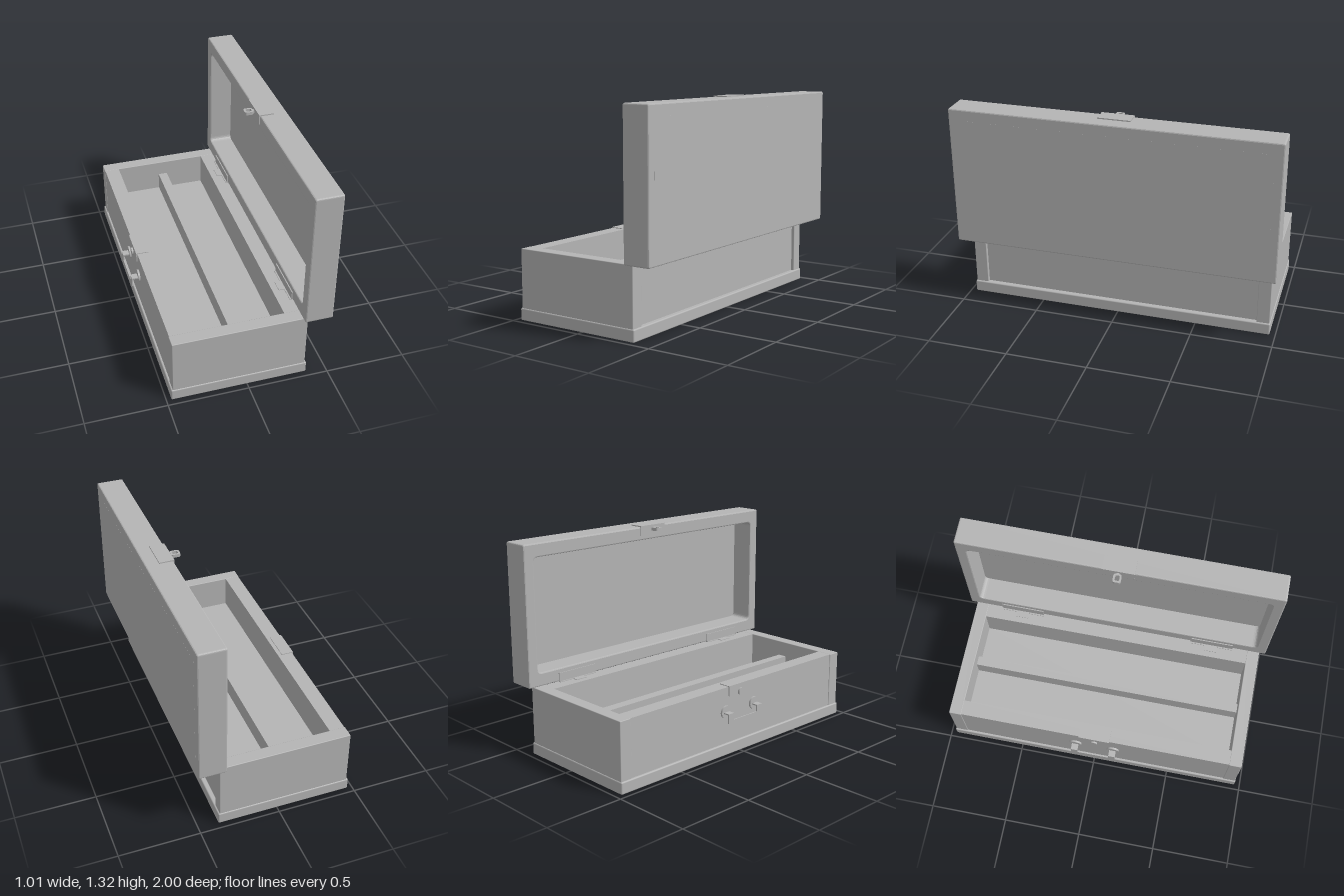
import * as THREE from 'three';
import { RoundedBoxGeometry } from 'three/addons/geometries/RoundedBoxGeometry.js';

export function createModel() {
  const model = new THREE.Group();
  const grey = new THREE.MeshStandardMaterial({ color: 0xb4b4b4 });
  grey.name = 'plain grey';

  const add = (name, geometry, parent = model) => {
    const mesh = new THREE.Mesh(geometry, grey);
    mesh.name = name;
    parent.add(mesh);
    return mesh;
  };
  // Box given by its limits on each axis, with optional rounded edges
  const block = (name, [x0, x1], [y0, y1], [z0, z1], radius = 0, parent = model) => {
    const size = [x1 - x0, y1 - y0, z1 - z0];
    const geometry = radius ? new RoundedBoxGeometry(...size, 2, radius) : new THREE.BoxGeometry(...size);
    add(name, geometry, parent).position.set((x0 + x1) / 2, (y0 + y1) / 2, (z0 + z1) / 2);
  };
  // Disc whose axis runs along x
  const disc = (name, radius, [x0, x1], y, z, parent = model) => {
    const geometry = new THREE.CylinderGeometry(radius, radius, x1 - x0, 24).rotateZ(Math.PI / 2);
    add(name, geometry, parent).position.set((x0 + x1) / 2, y, z);
  };
  // Rounded rectangle outline
  const roundRect = (target, x0, x1, y0, y1, r) => {
    target.moveTo(x0 + r, y0);
    target.lineTo(x1 - r, y0);
    target.quadraticCurveTo(x1, y0, x1, y0 + r);
    target.lineTo(x1, y1 - r);
    target.quadraticCurveTo(x1, y1, x1 - r, y1);
    target.lineTo(x0 + r, y1);
    target.quadraticCurveTo(x0, y1, x0, y1 - r);
    target.lineTo(x0, y0 + r);
    target.quadraticCurveTo(x0, y0, x0 + r, y0);
    return target;
  };

  // Box body
  block('basePlate', [-0.47, 0.375], [0, 0.075], [-0.965, 0.965], 0.008);
  for (const s of [-1, 1]) {
    block('endBoard', [-0.46, 0.365], [0.07, 0.434], [s * 0.92 - 0.04, s * 0.92 + 0.04], 0.004);
  }
  block('frontWall', [-0.456, -0.36], [0.07, 0.433], [-0.883, 0.883]);
  block('backWall', [0.245, 0.345], [0.07, 0.433], [-0.883, 0.883]);
  block('innerFloor', [-0.365, 0.25], [0.07, 0.22], [-0.885, 0.885]);
  block('divider', [-0.07, -0.01], [0.21, 0.335], [-0.885, 0.885]);

  // Open lid: a deep frame closed by a back panel
  const lid = new THREE.Group();
  lid.name = 'lid';
  model.add(lid);
  const frame = roundRect(new THREE.Shape(), -1, 1, 0.435, 1.312, 0.012);
  frame.holes.push(roundRect(new THREE.Path(), -0.93, 0.93, 0.52, 1.227, 0.03));
  const bevel = 0.008;
  const frameGeometry = new THREE.ExtrudeGeometry(frame, {
    depth: 0.172 - 2 * bevel, bevelThickness: bevel, bevelSize: bevel,
    bevelOffset: -bevel, bevelSegments: 2, curveSegments: 5,
  }).rotateY(-Math.PI / 2);
  add('lidFrame', frameGeometry, lid).position.x = 0.505 - bevel;
  block('lidPanel', [0.485, 0.5052], [0.505, 1.242], [-0.945, 0.945], 0, lid);

  // Hinges
  for (const s of [-1, 1]) {
    const hinge = new THREE.Group();
    hinge.name = 'hinge';
    hinge.position.z = s * 0.64;
    model.add(hinge);
    block('lidLeaf', [0.327, 0.335], [0.433, 0.49], [-0.14, 0.14], 0, hinge);
    block('boxLeaf', [0.318, 0.335], [0.43, 0.437], [-0.14, 0.14], 0, hinge);
    block('leafTab', [0.284, 0.32], [0.43, 0.437], [-0.04, 0.04], 0, hinge);
  }

  // Lid clasp: bent plate and hoop
  const clasp = new THREE.Group();
  clasp.name = 'lidClasp';
  model.add(clasp);
  block('claspTop', [0.327, 0.42], [1.31, 1.319], [-0.1, 0.1], 0, clasp);
  block('claspFront', [0.327, 0.335], [1.255, 1.319], [-0.1, 0.1], 0, clasp);
  const hoop = roundRect(new THREE.Shape(), 0.264, 0.32, -0.025, 0.025, 0.014);
  hoop.holes.push(roundRect(new THREE.Path(), 0.276, 0.31, -0.014, 0.014, 0.008));
  const hoopGeometry = new THREE.ExtrudeGeometry(hoop, { depth: 0.02, bevelEnabled: false });
  add('claspHoop', hoopGeometry.rotateX(-Math.PI / 2), clasp).position.y = 1.285;
  block('hoopStem', [0.316, 0.33], [1.287, 1.303], [-0.01, 0.01], 0, clasp);

  // Catch on the front wall
  const latch = new THREE.Group();
  latch.name = 'boxCatch';
  model.add(latch);
  block('catchTop', [-0.463, -0.385], [0.43, 0.438], [-0.1, 0.1], 0, latch);
  block('catchFront', [-0.464, -0.455], [0.375, 0.438], [-0.1, 0.1], 0, latch);
  disc('catchKnob', 0.023, [-0.475, -0.455], 0.387, 0, latch);

  // Hanging handle
  const handle = new THREE.Group();
  handle.name = 'handle';
  model.add(handle);
  for (const s of [-1, 1]) {
    const z = [s * 0.125 - 0.022, s * 0.125 + 0.022];
    disc('handleMount', 0.04, [-0.468, -0.454], 0.28, s * 0.125, handle);
    block('handleArm', [-0.509, -0.466], [0.273, 0.281], z, 0, handle);
    block('handleSide', [-0.509, -0.502], [0.22, 0.281], z, 0, handle);
  }
  block('handleGrip', [-0.509, -0.502], [0.22, 0.238], [-0.105, 0.105], 0, handle);

  return model;
}
